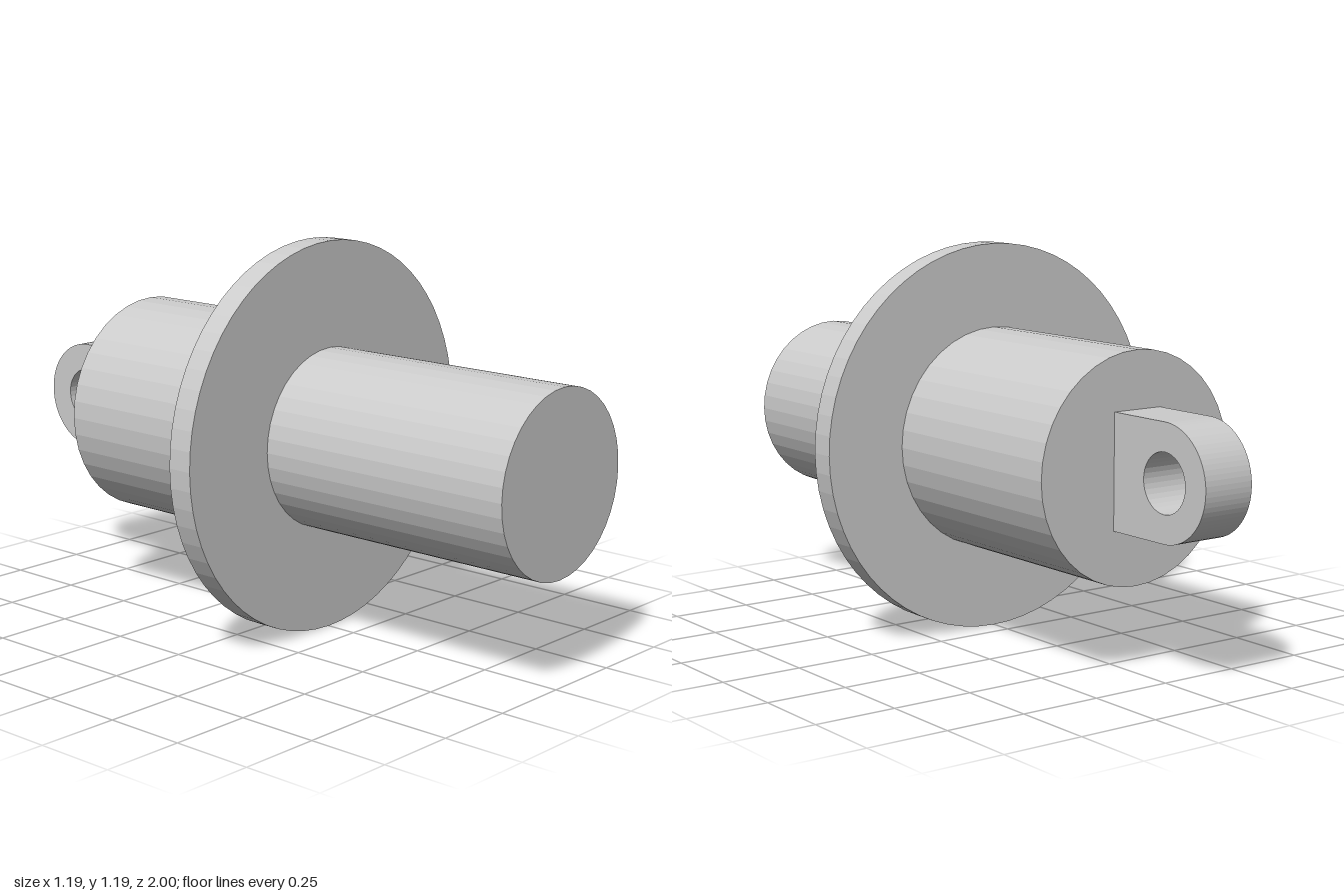
import * as THREE from 'three';

const AXIS_Y = 0.595;

export function createModel() {
  const group = new THREE.Group();
  const material = new THREE.MeshStandardMaterial({ color: 0xcccccc, flatShading: true });

  const add = (name, geometry) => {
    const mesh = new THREE.Mesh(geometry, material);
    mesh.name = name;
    mesh.position.y = AXIS_Y;
    group.add(mesh);
  };

  // Solid cylinder along z between two depths
  const addCylinder = (name, radius, back, front, sides) => {
    const geometry = new THREE.CylinderGeometry(radius, radius, front - back, sides);
    geometry.rotateX(Math.PI / 2).translate(0, 0, (front + back) / 2);
    add(name, geometry);
  };

  addCylinder('frontShaft', 0.275, 0.15, 1, 40);
  addCylinder('flange', 0.595, 0.07, 0.15, 64);
  addCylinder('rearBody', 0.34, -0.615, 0.07, 40);

  // Rear lug: rounded plate with a cross hole, profile drawn with x pointing backwards
  const radius = 0.17, eye = 0.83, start = 0.615, thickness = 0.166;
  const profile = new THREE.Shape();
  profile.moveTo(start, -radius);
  profile.lineTo(eye, -radius);
  profile.absarc(eye, 0, radius, -Math.PI / 2, Math.PI / 2, false);
  profile.lineTo(start, radius);
  profile.closePath();
  const hole = new THREE.Path();
  hole.absarc(eye, 0, 0.087, 0, Math.PI * 2, true);
  profile.holes.push(hole);
  const lug = new THREE.ExtrudeGeometry(profile, { depth: thickness, bevelEnabled: false, curveSegments: 18 });
  lug.translate(0, 0, -thickness / 2).rotateY(Math.PI / 2);
  add('mountingLug', lug);

  return group;
}
